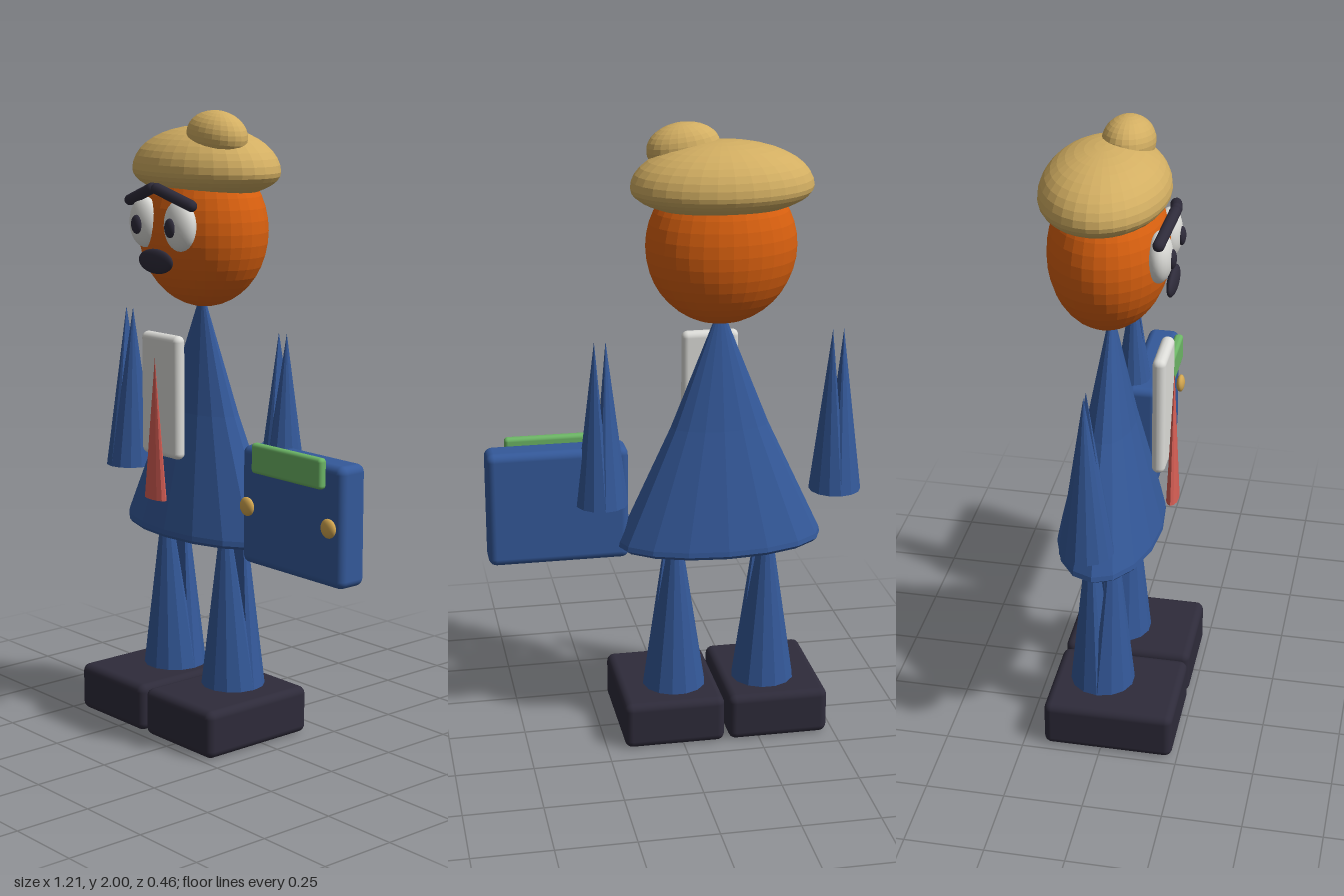
import * as THREE from 'three';
import { RoundedBoxGeometry } from 'three/addons/geometries/RoundedBoxGeometry.js';

const CX = -0.143; // figure's centre line
const CZ = -0.025;

export function createModel() {
  const root = new THREE.Group();
  root.name = 'figure';
  const paint = (name, color) => {
    const m = new THREE.MeshStandardMaterial({ color });
    m.name = name;
    return m;
  };
  const blue = paint('blue cloth', 0x34599a);
  const orange = paint('orange skin', 0xd9600f);
  const straw = paint('straw felt', 0xd2ae62);
  const dark = paint('dark leather', 0x2e2b3a);
  const white = paint('white', 0xdcdcd8);
  const green = paint('green', 0x6cb565);
  const red = paint('red', 0xd85f55);
  const gold = paint('gold', 0xd2a650);

  const add = (name, geo, mat, x, y, z, parent = root) => {
    const mesh = new THREE.Mesh(geo, mat);
    mesh.name = name;
    mesh.position.set(x, y, z);
    parent.add(mesh);
    return mesh;
  };
  const flat = (geo) => {
    const g = geo.index ? geo.toNonIndexed() : geo;
    g.computeVertexNormals();
    return g;
  };
  const blob = (rx, ry, rz, w = 24, h = 16) => new THREE.SphereGeometry(1, w, h).scale(rx, ry, rz);
  const slab = (w, h, d, r) => new RoundedBoxGeometry(w, h, d, 3, r);

  // Half of a forked cone: the tip leans to -x and the inner side is cut off
  const prong = (r, h, inner, lean) => {
    const g = new THREE.ConeGeometry(r, h, 14).translate(0, h / 2, 0);
    const p = g.attributes.position;
    for (let i = 0; i < p.count; i++) {
      p.setX(i, p.getY(i) > h / 2 ? -lean : Math.min(p.getX(i), inner));
    }
    return flat(g);
  };
  const forkedLimb = (name, r, h, inner, lean, x, y, turn) => {
    const limb = new THREE.Group();
    limb.name = name;
    const g = prong(r, h, inner, lean);
    add(name + 'ProngA', g, blue, 0, 0, 0, limb);
    add(name + 'ProngB', g, blue, 0, 0, 0, limb).rotation.y = Math.PI;
    limb.position.set(x, y, CZ);
    limb.rotation.y = turn;
    root.add(limb);
  };

  // Coat: oval cone with a softened hem
  const profile = [[0, 0.642], [0.322, 0.642], [0.335, 0.652], [0.332, 0.668], [0.158, 1.04], [0.022, 1.38], [0, 1.44]]
    .map(([x, y]) => new THREE.Vector2(x, y));
  add('coat', flat(new THREE.LatheGeometry(profile, 16).scale(1, 1, 0.49)), blue, CX, 0, -0.022);

  // Mirrored limbs, shoes and face details
  for (const s of [-1, 1]) {
    const side = s > 0 ? 'left' : 'right';
    forkedLimb(side + 'Arm', 0.084, 0.535, 0.018, 0.018, CX + s * 0.381, 0.8, 0);
    forkedLimb(side + 'Leg', 0.105, 0.66, 0.02, 0.037, CX + s * 0.149, 0.14, Math.PI / 2);
    add(side + 'Shoe', slab(0.328, 0.155, 0.417, 0.025), dark, CX + s * 0.171, 0.0775, 0.024);
    add(side + 'Eye', blob(0.064, 0.08, 0.04), white, CX + s * 0.086, 1.65, 0.138);
    add(side + 'Pupil', blob(0.023, 0.03, 0.013), dark, CX + s * 0.083, 1.645, 0.176);

    const outer = new THREE.Vector3(CX + s * 0.152, 1.716, 0.147);
    const inner = new THREE.Vector3(CX + s * 0.012, 1.762, 0.17);
    const along = inner.clone().sub(outer);
    const brow = add(side + 'Eyebrow', new THREE.CapsuleGeometry(0.018, along.length(), 5, 12), dark,
      ...outer.clone().add(inner).multiplyScalar(0.5).toArray());
    brow.quaternion.setFromUnitVectors(new THREE.Vector3(0, 1, 0), along.normalize());
  }

  // Head and mouth
  add('head', flat(blob(0.236, 0.245, 0.184, 32, 20)), orange, CX, 1.623, -0.027);
  add('mouth', blob(0.083, 0.039, 0.016), dark, CX, 1.535, 0.166);

  // Beret: squashed below its widest line
  const beret = blob(0.284, 0.14, 0.194, 32, 20);
  const bp = beret.attributes.position;
  for (let i = 0; i < bp.count; i++) if (bp.getY(i) < 0) bp.setY(i, bp.getY(i) * 0.62);
  add('beret', flat(beret), straw, CX, 1.81, -0.038);
  add('beretBobble', flat(blob(0.115, 0.077, 0.08)), straw, -0.031, 1.923, 0.01).rotation.z = -0.12;

  // Shirt front and tie
  add('shirtFront', slab(0.185, 0.395, 0.042, 0.02), white, CX, 1.108, 0.139);
  add('tie', flat(new THREE.ConeGeometry(0.05, 0.455, 12).scale(1, 1, 0.4)), red, CX, 1.003, 0.173);

  // Satchel with flap and studs
  add('satchel', slab(0.45, 0.375, 0.105, 0.025), blue, 0.376, 0.797, 0.016);
  add('satchelFlap', slab(0.312, 0.095, 0.03, 0.012), green, 0.377, 0.957, 0.077);
  for (const x of [0.193, 0.558]) add('satchelStud', blob(0.03, 0.03, 0.014), gold, x, 0.797, 0.08);

  return root;
}
